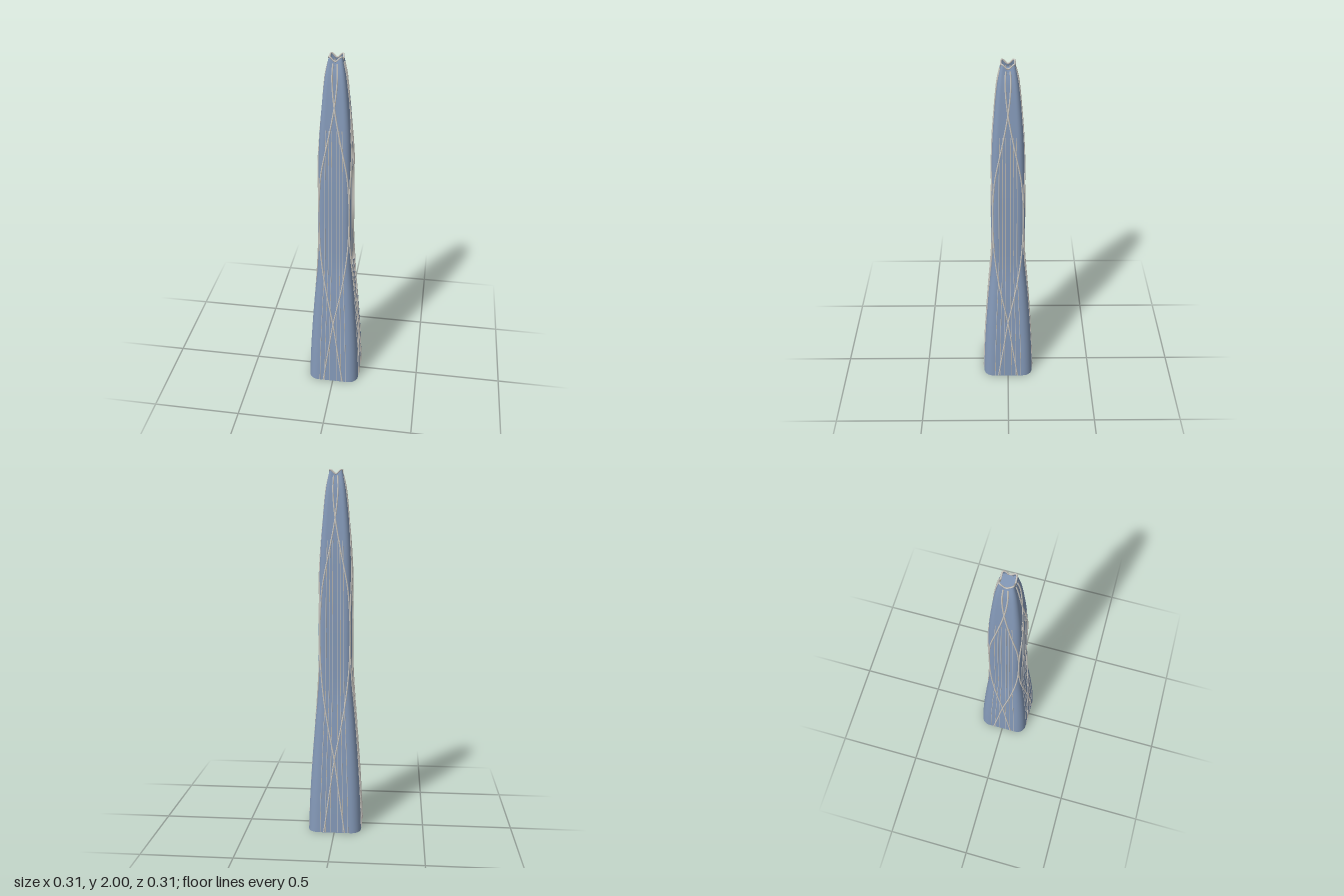
import * as THREE from 'three';

// half-width of the tower against height
const PROFILE = [
  [0, 0.148], [0.2, 0.14], [0.4, 0.128], [0.6, 0.113], [0.8, 0.096], [1, 0.092], [1.2, 0.091],
  [1.4, 0.087], [1.6, 0.079], [1.8, 0.063], [1.9, 0.052], [1.96, 0.042], [2, 0.034],
];
// sideways swing of the crossing bands, 0 = middle of a face, 1 = corner
const SWING = [
  [0, -0.43], [0.2, -0.24], [0.42, 0], [0.6, 0.33], [0.8, 0.74], [0.95, 0.93], [1.1, 1], [1.25, 0.97],
  [1.4, 0.82], [1.6, 0.36], [1.75, 0], [1.82, -0.15], [1.9, -0.28], [1.98, -0.32],
];

// smooth interpolation through a table of [y, value]
function sample(table, y) {
  const n = table.length;
  let i = 0;
  while (i < n - 2 && y > table[i + 1][0]) i++;
  const slope = (k) => {
    const a = table[Math.max(k - 1, 0)], b = table[Math.min(k + 1, n - 1)];
    return (b[1] - a[1]) / (b[0] - a[0]);
  };
  const [y0, v0] = table[i], [y1, v1] = table[i + 1];
  const h = y1 - y0, t = THREE.MathUtils.clamp((y - y0) / h, 0, 1);
  const t2 = t * t, t3 = t2 * t;
  return v0 * (2 * t3 - 3 * t2 + 1) + h * slope(i) * (t3 - 2 * t2 + t)
    + v1 * (3 * t2 - 2 * t3) + h * slope(i + 1) * (t3 - t2);
}

// point on the front face of the rounded-square shaft, u from -1 to 1 between corners
function shaftPoint(u, y, lift = 0) {
  const w = sample(PROFILE, y), r = w * 0.38, flat = w - r;
  const s = Math.abs(u) * (flat + r * Math.PI / 4);
  const a = Math.max(0, s - flat) / r;
  const x = Math.min(s, flat) + (r + lift) * Math.sin(a);
  const z = flat + (r + lift) * Math.cos(a);
  // the rim dips in the middle of every face
  const dip = 0.011 * (1 + Math.cos(Math.PI * u)) * THREE.MathUtils.smoothstep(y, 1.9, 2);
  return new THREE.Vector3(Math.sign(u) * x, y - dip - 0.004 * y / 2, z);
}

const UP = new THREE.Vector3(0, 1, 0);
const around = (p, face) => p.applyAxisAngle(UP, face * Math.PI / 2);

// one closed loop of points round the shaft
function ringPoints(y, perFace) {
  const pts = [];
  for (let f = 0; f < 4; f++)
    for (let i = 0; i < perFace; i++) pts.push(around(shaftPoint(-1 + 2 * i / perFace, y), f));
  return pts;
}

function shaftGeometry() {
  const rows = 80, perFace = 24, n = perFace * 4, pos = [], idx = [];
  for (let j = 0; j <= rows; j++)
    for (const p of ringPoints(2 * j / rows, perFace)) pos.push(p.x, p.y, p.z);
  for (let j = 0; j < rows; j++) {
    for (let i = 0; i < n; i++) {
      const a = j * n + i, b = j * n + (i + 1) % n;
      idx.push(a, b, b + n, a, b + n, a + n);
    }
  }
  const g = new THREE.BufferGeometry();
  g.setAttribute('position', new THREE.Float32BufferAttribute(pos, 3));
  g.setIndex(idx);
  g.computeVertexNormals();
  return g;
}

export function createModel() {
  const glass = new THREE.MeshStandardMaterial({ color: 0x8499b8, side: THREE.DoubleSide });
  glass.name = 'blue glass';
  const trim = new THREE.MeshStandardMaterial({ color: 0xcbc8c2 });
  trim.name = 'pale trim';

  const tower = new THREE.Group();
  tower.name = 'tower';
  const add = (name, geometry, material, parent = tower) => {
    const m = new THREE.Mesh(geometry, material);
    m.name = name;
    parent.add(m);
    return m;
  };

  add('shaft', shaftGeometry(), glass);

  // flat roof just below the rim
  const roofShape = new THREE.Shape(ringPoints(1.965, 12).map((p) => new THREE.Vector2(p.x, -p.z)));
  const roof = add('roof', new THREE.ShapeGeometry(roofShape), glass);
  roof.rotation.x = -Math.PI / 2;
  roof.position.y = 1.955;

  // pale rim following the scalloped crown
  const rim = new THREE.CatmullRomCurve3(ringPoints(2, 12), true);
  add('crownRim', new THREE.TubeGeometry(rim, 96, 0.004, 6, true), trim);

  // tube that follows the shaft between two heights
  const strip = (uAt, y0, y1, steps, radius, lift) => {
    const pts = [];
    for (let i = 0; i <= steps; i++) {
      const y = y0 + (y1 - y0) * i / steps;
      pts.push(shaftPoint(uAt(y), y, lift));
    }
    return new THREE.TubeGeometry(new THREE.CatmullRomCurve3(pts), steps * 2, radius, 6);
  };
  const bands = [1, -1].map((s) => strip((y) => s * sample(SWING, y), 0.004, 1.985, 50, 0.0042, 0.001));
  const ribs = [0.16, 0.36, 0.58].flatMap((u) =>
    [u, -u].map((v) => strip(() => v, 0.003, 1.63, 24, 0.0019, 0.0004)));

  // the same crossing bands and upright ribs on all four faces
  for (let f = 0; f < 4; f++) {
    const face = new THREE.Group();
    face.name = 'faceTrim';
    face.rotation.y = f * Math.PI / 2;
    bands.forEach((g) => add('crossingBand', g, trim, face));
    ribs.forEach((g) => add('uprightRib', g, trim, face));
    tower.add(face);
  }
  return tower;
}
